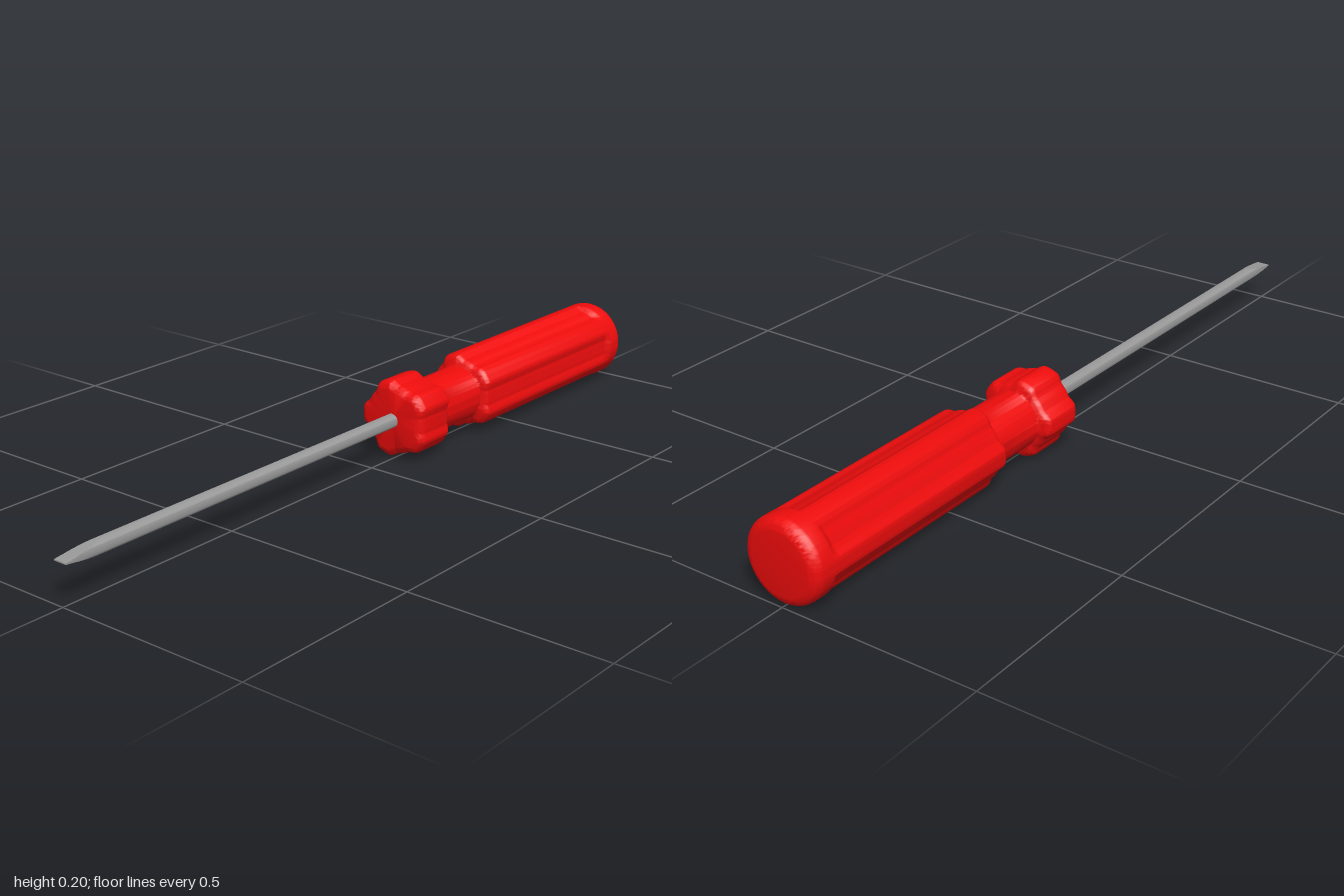
import * as THREE from 'three';
import { toCreasedNormals } from 'three/addons/utils/BufferGeometryUtils.js';

const R = 0.1015;      // grip radius, also the height of the axis
const NECK = 0.0715;   // neck radius
const SHAFT = 0.018;   // blade radius
const { smoothstep, degToRad } = THREE.MathUtils;

// Skin rings along z; place(z, r, angle) returns the [x, y] of a ring point.
function loft(profile, segments, place, crease) {
  const pos = [], index = [];
  profile.forEach(([z, r]) => {
    for (let j = 0; j < segments; j++) {
      const [x, y] = place(z, r, (j / segments) * Math.PI * 2);
      pos.push(x, y, z);
    }
  });
  for (let i = 0; i < profile.length - 1; i++) {
    for (let j = 0; j < segments; j++) {
      const k = (j + 1) % segments;
      const a = i * segments + j, b = i * segments + k;
      const d = a + segments, c = b + segments;
      if (profile[i][1] > 0) index.push(a, b, c);
      if (profile[i + 1][1] > 0) index.push(a, c, d);
    }
  }
  const geo = new THREE.BufferGeometry();
  geo.setAttribute('position', new THREE.Float32BufferAttribute(pos, 3));
  geo.setIndex(index);
  return toCreasedNormals(geo, degToRad(crease));
}

// Quarter-round edge from the end face at zFace; dir points into the body.
function roundEdge(zFace, dir, size) {
  const pts = [];
  for (let i = 0; i <= 6; i++) {
    const t = (i / 6) * Math.PI / 2;
    pts.push([zFace + dir * size * (1 - Math.cos(t)), R - size + size * Math.sin(t)]);
  }
  return dir > 0 ? pts : pts.reverse();
}

// Five shallow grip flutes, the first one facing +x
function fluteDepth(z, angle) {
  const step = (Math.PI * 2) / 5;
  const off = Math.abs(angle - Math.round(angle / step) * step);
  const across = 1 - smoothstep(off, degToRad(10), degToRad(27));
  return 0.0125 * across * smoothstep(z, -0.945, -0.925);
}

function handleGeometry() {
  const profile = [
    [-1, 0],
    ...roundEdge(-1, 1, 0.026),
    ...[-0.945, -0.94, -0.935, -0.93, -0.925].map((z) => [z, R]),
    ...roundEdge(-0.356, -1, 0.022),
    [-0.354, 0.074], [-0.35, NECK], [-0.21, NECK], [-0.207, 0.074],
    ...roundEdge(-0.205, 1, 0.022),
    ...roundEdge(-0.08, -1, 0.022),
    [-0.08, 0],
  ];
  return loft(profile, 180, (z, r, angle) => {
    const rad = Math.max(Math.min(r, NECK), r - fluteDepth(z, angle));
    return [rad * Math.cos(angle), rad * Math.sin(angle)];
  }, 40);
}

// Round shaft flattened to a full-width flat tip
function bladeGeometry() {
  const profile = [[-0.12, 0], [-0.12, SHAFT], [0.9, SHAFT]];
  for (let i = 1; i <= 8; i++) profile.push([0.9 + i * 0.0125, SHAFT]);
  profile.push([1, 0]);
  return loft(profile, 48, (z, r, angle) => {
    const t = Math.max(0, (z - 0.9) / 0.1);
    const half = SHAFT + (0.0015 - SHAFT) * Math.pow(t, 0.85);
    const y = r * Math.sin(angle);
    return [r * Math.cos(angle), THREE.MathUtils.clamp(y, -half, half)];
  }, 30);
}

export function createModel() {
  const group = new THREE.Group();
  group.name = 'screwdriver';
  const add = (name, geometry, color) => {
    const mesh = new THREE.Mesh(geometry, new THREE.MeshStandardMaterial({ color }));
    mesh.name = name;
    mesh.position.y = R;
    group.add(mesh);
  };
  add('handle', handleGeometry(), 0xee0c0c);
  add('blade', bladeGeometry(), 0x999999);
  return group;
}
